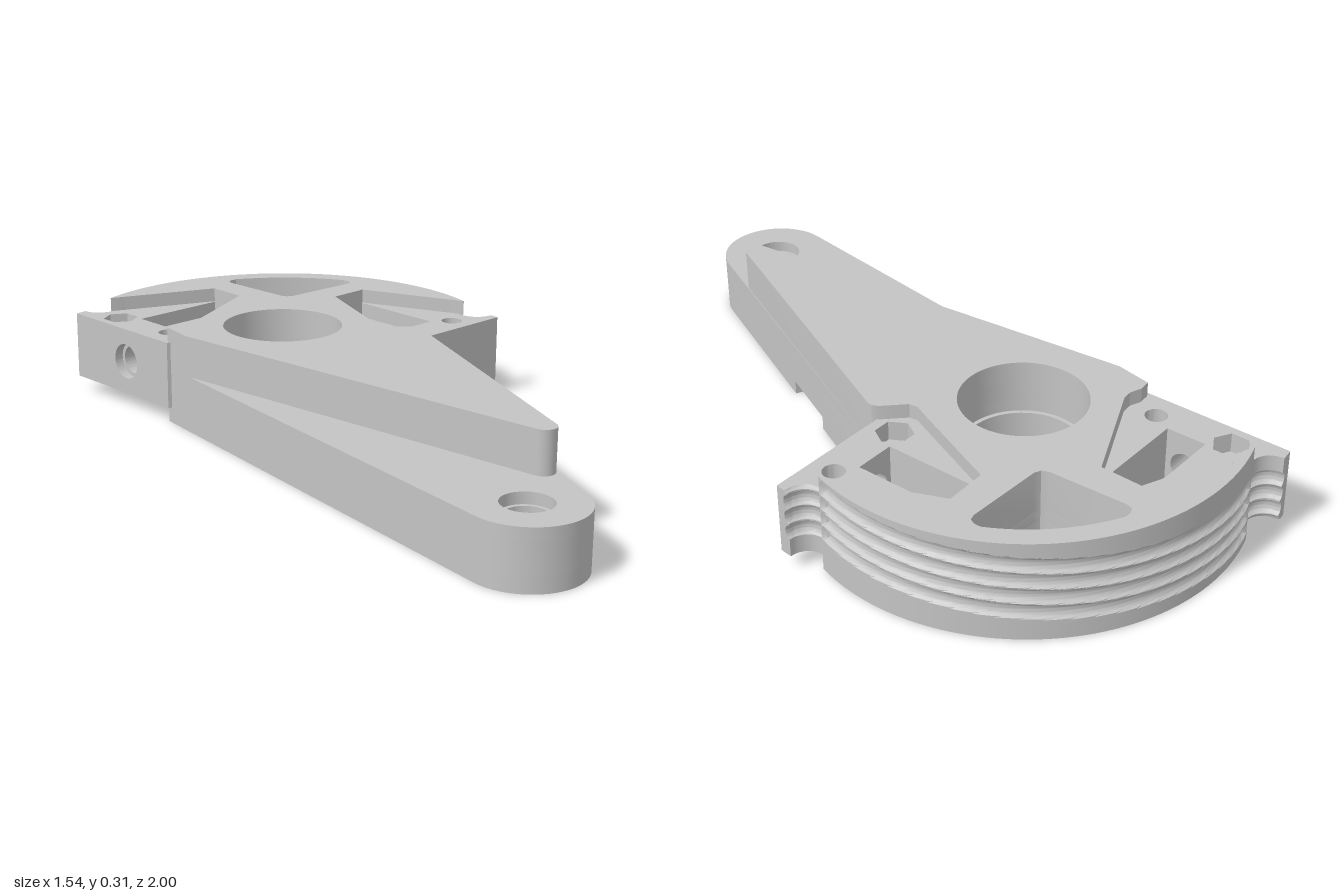
import * as THREE from 'three';
import { toCreasedNormals } from 'three/addons/utils/BufferGeometryUtils.js';

const CX = -0.075, CZ = -0.34;      // bore centre
const FX = 0.598, FZ = 0.828;       // pivot centre at the arm's foot
const R = 0.66, CORE = 0.63;        // drum radius, radius behind the grooves
const H = 0.31, STEP = 0.18, NOTCH = 0.045;
const DEG = Math.PI / 180;

// points [x, z] on a circle, angle measured from +x towards +z
function arc(x, z, r, a0, a1, n = 40) {
  return Array.from({ length: n + 1 }, (_, i) => {
    const a = (a0 + (a1 - a0) * i / n) * DEG;
    return [x + r * Math.cos(a), z + r * Math.sin(a)];
  });
}
const circle = (x, z, r, n = 40) => arc(x, z, r, 0, 360 * (n - 1) / n, n - 1);
const toV2 = (pts) => pts.map(([x, z]) => new THREE.Vector2(x, -z));

// counter-clockwise hole, so that its walls face the opening
function holePath(pts) {
  const v = toV2(pts);
  return new THREE.Path(THREE.ShapeUtils.isClockWise(v) ? v.reverse() : v);
}

// wall lofted through sections { o, i, phase }: outer point, inner point, groove height shift
function groovedWall(sections, y0, y1) {
  const NY = 84, N = 2 * (NY + 1), pos = [], idx = [];
  for (const { o, i, phase } of sections) {
    const len = Math.max(1e-6, Math.hypot(i[0] - o[0], i[1] - o[1]));
    for (let j = 0; j <= NY; j++) {
      const y = y0 + (y1 - y0) * j / NY;
      let cut = 0;
      for (let k = 0; k < 4; k++) {
        const d = (y - (0.087 + 0.05 * k + phase)) / 0.022;
        cut = Math.max(cut, 0.015 * Math.sqrt(Math.max(0, 1 - d * d)));
      }
      const t = Math.min(1, cut / len);
      pos.push(o[0] + (i[0] - o[0]) * t, y, o[1] + (i[1] - o[1]) * t);
    }
    for (let j = NY; j >= 0; j--) pos.push(i[0], y0 + (y1 - y0) * j / NY, i[1]);
  }
  const last = (sections.length - 1) * N;
  for (let b = 0; b < last; b += N) {
    for (let j = 0; j < N; j++) {
      const p = b + j, q = b + (j + 1) % N;
      idx.push(p, q, p + N, q, q + N, p + N);
    }
  }
  for (let j = 0; j < NY; j++) {      // end caps
    const a = j, b = j + 1, c = N - 1 - j, d = N - 2 - j;
    idx.push(a, c, b, b, c, d);
    idx.push(last + a, last + b, last + c, last + b, last + d, last + c);
  }
  const geo = new THREE.BufferGeometry();
  geo.setAttribute('position', new THREE.Float32BufferAttribute(pos, 3));
  geo.setIndex(idx);
  return geo;
}

export function createModel() {
  const model = new THREE.Group();
  const grey = new THREE.MeshStandardMaterial({ color: 0xc4c4c4 });
  grey.name = 'light grey';

  const add = (name, geo, parent = model) => {
    const m = new THREE.Mesh(toCreasedNormals(geo, 0.45), grey);
    m.name = name;
    parent.add(m);
    return m;
  };

  // plan outline [x, z] extruded upward from y0 to y1
  function plate(name, outline, holes, y0, y1, parent) {
    const shape = new THREE.Shape(toV2(outline));
    shape.holes = holes.map(holePath);
    const geo = new THREE.ExtrudeGeometry(shape, { depth: y1 - y0, bevelEnabled: false });
    geo.rotateX(-Math.PI / 2);
    geo.translate(0, y0, 0);
    add(name, geo, parent);
  }

  // shared outline pieces
  const drum = arc(CX, CZ, CORE, -149, -31, 60);
  const rightNeck = [[0.175, -0.785], [0.085, -0.69], [0.21, -0.385], [0.223, -0.35],
    [0.245, -0.333], [0.33, -0.333], [0.35, -0.325], [0.36, -0.31]];
  const leftNeck = [[-0.435, -0.30], [-0.412, -0.328], [-0.375, -0.345], [-0.355, -0.37],
    [-0.235, -0.69], [-0.325, -0.785]];
  const foot = arc(FX, FZ, 0.17, -20, 143.5, 32);
  const webTip = [...arc(0.657, 0.607, 0.036, -20, 130, 12), [-0.37, -0.205]];

  // rounded slot entering the underside from the arm's edge
  const slot = Array.from({ length: 21 }, (_, i) => {
    const a = Math.PI * i / 20, c = -0.109 * Math.cos(a), s = 0.06 + 0.109 * Math.sin(a);
    return [0.522 + 0.347 * c - 0.938 * s, 0.1325 + 0.938 * c + 0.347 * s];
  });
  slot.unshift([0.484, 0.03]);
  slot.push([0.56, 0.235]);

  // triangular window behind the bore
  const half = [[0.02, -0.356], [0.197, -0.52], [0.207, -0.538], [0.2, -0.557]];
  const windowHole = [
    [CX, CZ - 0.348],
    ...half.map(([x, z]) => [CX + x, CZ + z]),
    ...arc(CX, CZ, 0.6, -72, -108, 16),
    ...half.slice().reverse().map(([x, z]) => [CX - x, CZ + z]),
  ];
  const bore = (r) => circle(CX, CZ, r, 64);
  const pivot = (r) => circle(FX, FZ, r);

  // arm and drum body, stacked so the bores get an inner lip
  const arm = [...drum, ...rightNeck, ...foot, ...leftNeck];
  plate('armUnderside', [...drum, ...rightNeck, ...slot, ...foot, ...leftNeck],
    [windowHole, bore(0.187), pivot(0.074)], 0, NOTCH);
  plate('armBody', arm, [windowHole, bore(0.174), pivot(0.062)], NOTCH, 0.145);
  plate('armDeck', arm, [windowHole, bore(0.187), pivot(0.074)], 0.145, STEP);
  plate('raisedWeb', [...drum, ...rightNeck, ...webTip, ...leftNeck],
    [windowHole, bore(0.187)], STEP, H);

  // drum rim with four helical cable grooves, tapering to its tips
  const A = 62.3 * DEG, RISE = 0.043;
  const rim = Array.from({ length: 73 }, (_, n) => {
    const a = A * (n / 36 - 1);
    const inner = Math.max(CORE, 0.54 / (Math.cos(a) + 0.4 * Math.abs(Math.sin(a))));
    const at = (r) => [CX + r * Math.sin(a), CZ - r * Math.cos(a)];
    return { o: at(R), i: at(inner), phase: RISE * a / A };
  });
  add('groovedRim', groovedWall(rim, 0, H));

  // clamp lugs, mirrored about the bore: u runs along the outer face, v inward
  const Y0 = 0.05, Y1 = 0.265, P = 0.06;
  const tipOuter = new THREE.SplineCurve([[-0.265, 0.039], [-0.245, 0.042], [-0.222, 0.056],
    [-0.207, 0.08], [-0.202, 0.117]].map((p) => new THREE.Vector2(...p))).getPoints(12);
  const tipInner = tipOuter.map(({ x, y }, n) => (n ? [x + 0.018, y - 0.018] : [-0.262, 0.012]));
  for (const s of [1, -1]) {
    const lug = new THREE.Group();
    lug.name = s > 0 ? 'rightLug' : 'leftLug';
    model.add(lug);
    const at = ([u, v]) => [CX + s * (-0.51 + (u + v) * Math.SQRT1_2),
      -0.43 + (u - v) * Math.SQRT1_2];
    const ends = [
      { name: 'outerEnd', hole: [-0.119, 0.074], nutOnTop: s > 0,
        pts: [[-0.062, 0], [-0.26, 0], ...tipInner, [-0.202, 0.117], [-0.067, 0.437],
          [-0.062, 0.43]] },
      { name: 'innerEnd', hole: [0.122, 0.081], nutOnTop: s < 0,
        pts: [[0.062, 0], [0.062, 0.43], [0.09, 0.44], [0.25, 0.1], [0.212, 0]] },
    ];
    for (const { name, hole, nutOnTop, pts } of ends) {
      const outline = pts.map(at);
      const round = circle(0, 0, 0.033, 28).map(([u, v]) => at([hole[0] + u, hole[1] + v]));
      const hex = circle(0, 0, 0.056, 6).map(([u, v]) => at([hole[0] + u, hole[1] + v]));
      const mid = nutOnTop ? Y1 - P : Y0 + P;
      plate(name, outline, [nutOnTop ? round : hex], Y0, mid, lug);
      plate(name, outline, [nutOnTop ? hex : round], mid, Y1, lug);
    }
    // grooved concave tip that carries the cable off the drum
    const tip = tipOuter.map(({ x, y }, n) => (
      { o: at([x, y]), i: at(tipInner[n]), phase: -s * RISE }));
    add('groovedTip', groovedWall(s > 0 ? tip : tip.reverse(), Y0, Y1), lug);

    // middle block with a counterbored cross hole
    const [bx, bz] = at([0, 0]);
    for (const [r, v0, v1] of [[0.057, 0, 0.03], [0.045, 0.03, 0.115]]) {
      const shape = new THREE.Shape([[-0.062, Y0], [0.062, Y0], [0.062, Y1], [-0.062, Y1]]
        .map(([x, y]) => new THREE.Vector2(x, y)));
      shape.holes.push(new THREE.Path().absarc(0, 0.157, r, 0, Math.PI * 2, true));
      const geo = new THREE.ExtrudeGeometry(shape,
        { depth: v1 - v0, bevelEnabled: false, curveSegments: 32 });
      geo.translate(0, 0, v0);
      const block = add('crossHoleBlock', geo, lug);
      block.position.set(bx, 0, bz);
      block.rotation.y = s * 135 * DEG;
    }
  }
  return model;
}
